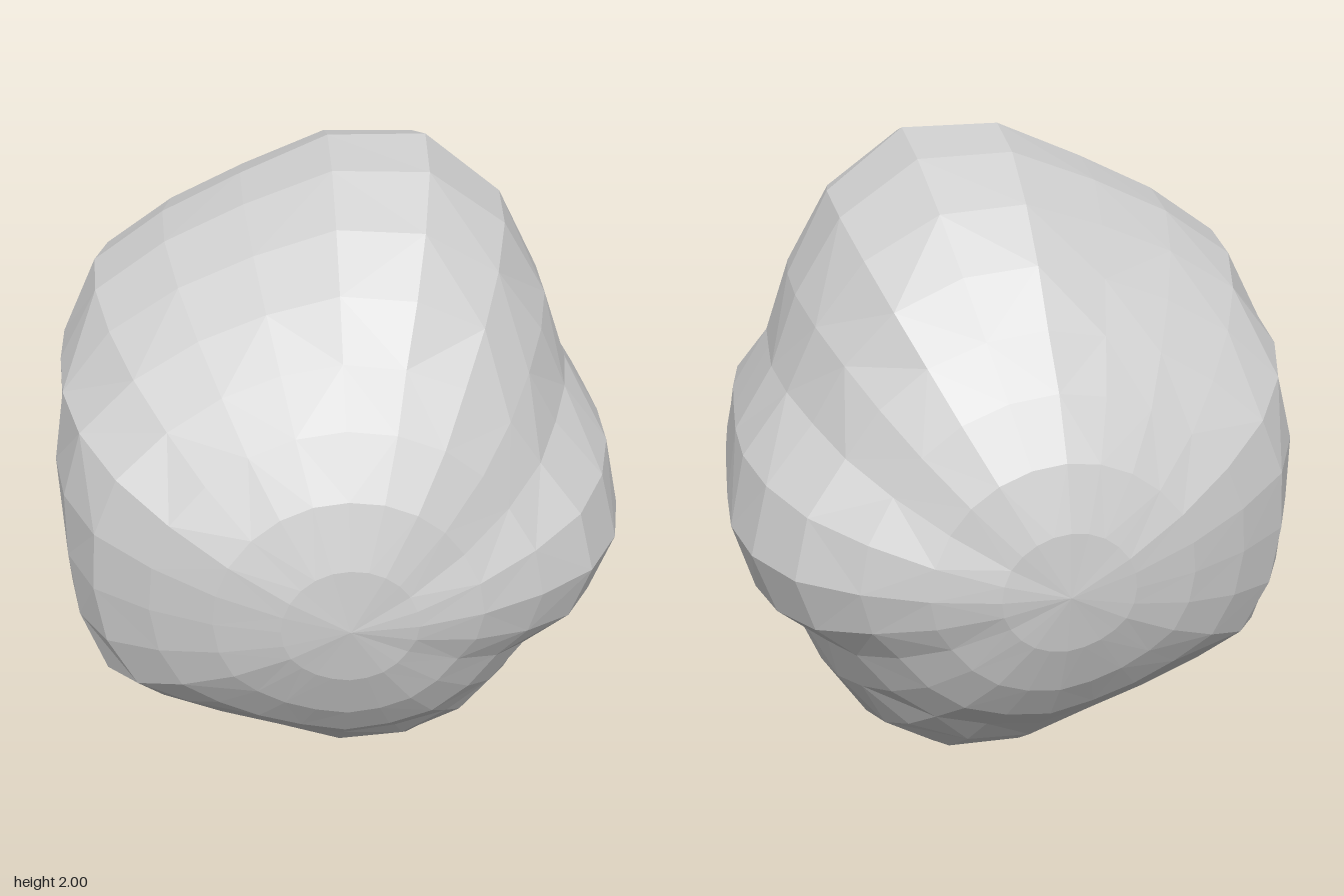
import * as THREE from 'three';

export function createModel() {
  const group = new THREE.Group();
  const stone = new THREE.MeshStandardMaterial({ color: 0xcccccc, flatShading: true });
  stone.name = 'stone grey';

  const R = 0.89, RINGS = 16, SEGS = 24;
  // Lobed outline around the middle, every 15 degrees from +x over the top to -x (mirrored below)
  const outline = [0.83, 0.817, 0.779, 0.856, 0.963, 1.033, 1.0, 0.931, 0.919, 0.933, 0.887, 0.8, 0.757];
  // Bulges and hollows halfway to the poles, at the same angles
  const shoulder = [0.055, 0.025, -0.045, -0.035, -0.025, -0.035, -0.035, -0.05, -0.04, -0.01, 0.045, 0.05, 0.045];
  // How far each ring, from pole to middle, follows the outline and the shoulder
  const followOutline = [0, 0, 0, 0, 0, 0.28, 0.55, 0.83, 1];
  const followShoulder = [0, 0.1, 0.3, 0.6, 1, 1, 0.6, 0.1, 0];

  // Each point of a sphere is pushed in or out along its own radius
  const point = (k, j) => {
    const ring = Math.min(k, RINGS - k);
    const step = Math.min(j % SEGS, SEGS - (j % SEGS));
    const lat = (k / RINGS) * Math.PI, a = (j / SEGS) * Math.PI * 2;
    const r = THREE.MathUtils.lerp(R, outline[step], followOutline[ring]) + shoulder[step] * followShoulder[ring];
    const across = r * Math.sin(lat);
    return [-0.03 + across * Math.cos(a), 1 + across * Math.sin(a), r * Math.cos(lat)];
  };

  // Faceted skin with poles at front and back; the diagonals vary for a chipped look
  const pos = [];
  for (let k = 0; k < RINGS; k++) {
    for (let j = 0; j < SEGS; j++) {
      const A = point(k, j), B = point(k + 1, j), C = point(k + 1, j + 1), D = point(k, j + 1);
      if (k === 0) pos.push(...A, ...B, ...C);
      else if (k === RINGS - 1) pos.push(...A, ...B, ...D);
      else if ((k * 7 + j * 5) % 3) pos.push(...A, ...B, ...C, ...A, ...C, ...D);
      else pos.push(...A, ...B, ...D, ...B, ...C, ...D);
    }
  }
  const geo = new THREE.BufferGeometry();
  geo.setAttribute('position', new THREE.Float32BufferAttribute(pos, 3));
  geo.computeVertexNormals();

  const rock = new THREE.Mesh(geo, stone);
  rock.name = 'rock';
  group.add(rock);
  return group;
}
